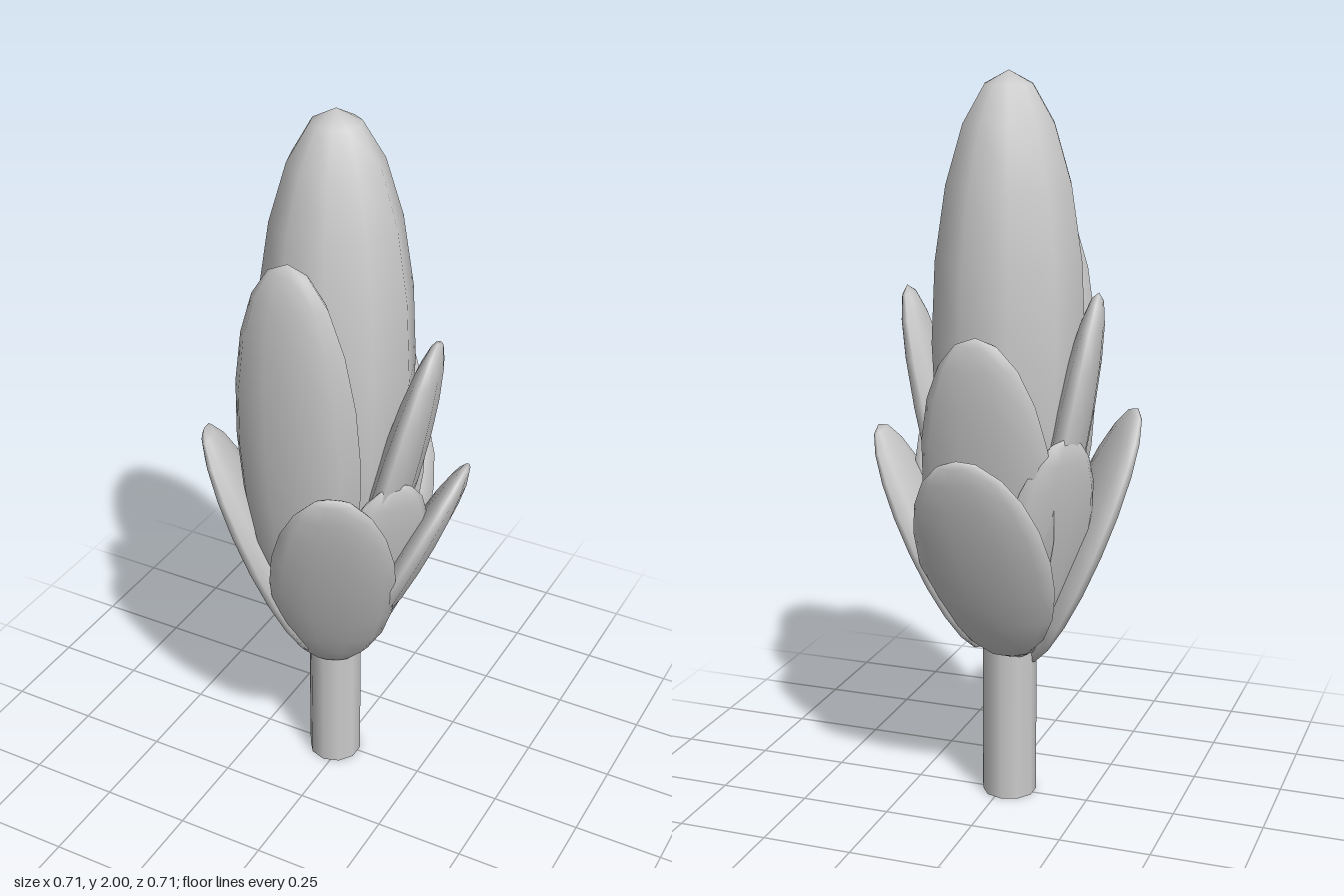
import * as THREE from 'three';

const material = new THREE.MeshStandardMaterial({ color: 0xcccccc });

// Flattened ellipsoid petal: base and tip points, half width, half thickness,
// and the heading it faces in degrees (0 = +z, 90 = +x)
function petal(name, base, tip, halfWidth, halfThick, heading) {
  const a = new THREE.Vector3(...base);
  const b = new THREE.Vector3(...tip);
  const axis = b.clone().sub(a);
  const halfLength = axis.length() / 2;
  axis.normalize();

  const h = THREE.MathUtils.degToRad(heading);
  const facing = new THREE.Vector3(Math.sin(h), 0, Math.cos(h));
  const side = axis.clone().cross(facing).normalize();
  const normal = side.clone().cross(axis);

  const geometry = new THREE.SphereGeometry(1, 10, 10);
  geometry.scale(halfWidth, halfLength, halfThick);
  const mesh = new THREE.Mesh(geometry, material);
  mesh.name = name;
  mesh.quaternion.setFromRotationMatrix(new THREE.Matrix4().makeBasis(side, axis, normal));
  mesh.position.copy(a).add(b).multiplyScalar(0.5);
  return mesh;
}

export function createModel() {
  const group = new THREE.Group();
  group.name = 'flowerBud';

  // Stem, running up into the bud
  const stem = new THREE.Mesh(new THREE.CylinderGeometry(0.075, 0.075, 0.8, 10), material);
  stem.name = 'stem';
  stem.position.set(-0.02, 0.4, 0.007);
  group.add(stem);

  // Central closed bud
  const budShape = new THREE.SphereGeometry(1, 10, 10);
  budShape.scale(0.212, 0.7, 0.207);
  const bud = new THREE.Mesh(budShape, material);
  bud.name = 'bud';
  bud.position.set(-0.02, 1.3, -0.003);
  group.add(bud);

  const petals = [
    // Inner ring, close to the bud
    ['innerPetalFront', [-0.02, 0.6, 0.17], [-0.02, 1.69, 0.245], 0.183, 0.075, 0],
    ['innerPetalBack', [-0.02, 0.5, -0.08], [-0.02, 1.35, -0.26], 0.183, 0.055, 180],
    ['innerPetalLeft', [0.05, 0.55, 0], [0.27, 1.43, 0], 0.175, 0.055, 101],
    ['innerPetalRight', [-0.09, 0.55, 0], [-0.27, 1.44, -0.01], 0.165, 0.055, 282],
    // Outer ring, spreading lower down
    ['outerPetalFront', [0, 0.37, 0.06], [0.15, 1.12, 0.335], 0.17, 0.05, 25],
    ['outerPetalLeft', [0.05, 0.43, -0.02], [0.34, 1.05, -0.05], 0.182, 0.045, 98],
    ['outerPetalBack', [-0.05, 0.43, -0.07], [0, 1.05, -0.35], 0.182, 0.045, 182],
    ['outerPetalRight', [-0.06, 0.38, 0.04], [-0.335, 1.1, 0.16], 0.185, 0.05, 297],
    // Small fillers between the rings
    ['fillerPetalFrontLeft', [0.04, 0.42, 0.04], [0.23, 1.07, 0.13], 0.15, 0.045, 55],
    ['fillerPetalBackRight', [-0.07, 0.42, -0.04], [-0.23, 1.08, -0.15], 0.15, 0.045, 235],
  ];
  for (const p of petals) group.add(petal(...p));

  return group;
}
